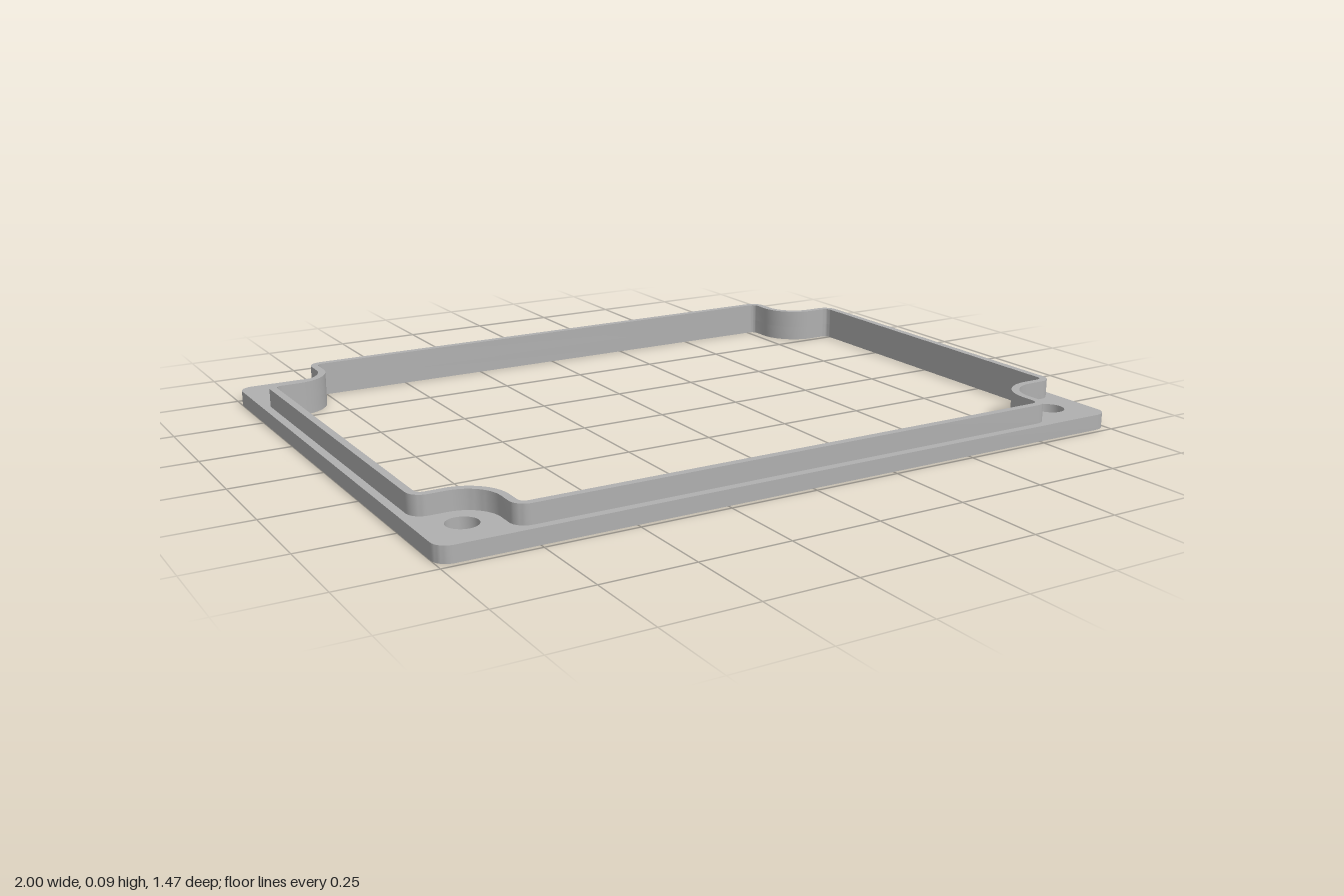
import * as THREE from 'three';
import { toCreasedNormals } from 'three/addons/utils/BufferGeometryUtils.js';

const HALF_X = 1, HALF_Z = 0.735, BASE_H = 0.043, TOTAL_H = 0.095;
const BOLT_X = 0.89, BOLT_Z = 0.62, WALL = 0.021;

// Points on an arc, from angle a to angle b
function arc(cx, cy, r, a, b, n) {
  return Array.from({ length: n + 1 }, (_, i) => {
    const t = a + (b - a) * i / n;
    return new THREE.Vector2(cx + r * Math.cos(t), cy + r * Math.sin(t));
  });
}

// Mirror one quadrant (from +x axis to +y axis) into a closed counter-clockwise loop
function mirrorQuadrant(q) {
  const flip = (pts, sx, sy) => pts.map(p => new THREE.Vector2(p.x * sx, p.y * sy));
  const rev = [...q].reverse();
  return [...q, ...flip(rev, -1, 1), ...flip(q, -1, -1), ...flip(rev, 1, -1)];
}

// Lip outline with its corners scooped around the bolt holes, inset by d
function lipOutline(d) {
  const X = 0.977 - d, Z = 0.712 - d, r = 0.04 - d, R = 0.092 + d;
  const cx = 0.89, cz = 0.63, H = Math.PI / 2;
  return mirrorQuadrant([
    ...arc(X - r, cz - R - r, r, 0, H, 8),
    ...arc(cx, cz, R, -H, -2 * H, 16),
    ...arc(cx - R - r, Z - r, r, 0, H, 8),
  ]);
}

// Extrude a flat outline with holes upward from y0 to y1
function plate(name, outline, holes, y0, y1, material) {
  const shape = new THREE.Shape(outline);
  shape.holes = holes.map(h => new THREE.Path(h));
  const geo = new THREE.ExtrudeGeometry(shape, { depth: y1 - y0, bevelEnabled: false });
  geo.rotateX(-Math.PI / 2);
  geo.translate(0, y0, 0);
  const mesh = new THREE.Mesh(toCreasedNormals(geo, 0.6), material);
  mesh.name = name;
  return mesh;
}

export function createModel() {
  const group = new THREE.Group();
  group.name = 'gasketFrame';
  const grey = new THREE.MeshStandardMaterial({ color: 0xb0b0b0 });
  grey.name = 'grey';

  // Flat flange with rounded corners, central opening and four bolt holes
  const r = 0.04;
  const rim = mirrorQuadrant(arc(HALF_X - r, HALF_Z - r, r, 0, Math.PI / 2, 8));
  const opening = lipOutline(WALL);
  const boltHoles = [];
  for (const sx of [-1, 1]) for (const sz of [-1, 1]) {
    boltHoles.push(arc(sx * BOLT_X, sz * BOLT_Z, 0.041, 0, Math.PI * 2, 32).slice(0, -1));
  }
  group.add(plate('flange', rim, [opening, ...boltHoles], 0, BASE_H, grey));

  // Thin raised lip around the opening
  group.add(plate('lip', lipOutline(0), [opening], BASE_H, TOTAL_H, grey));
  return group;
}
